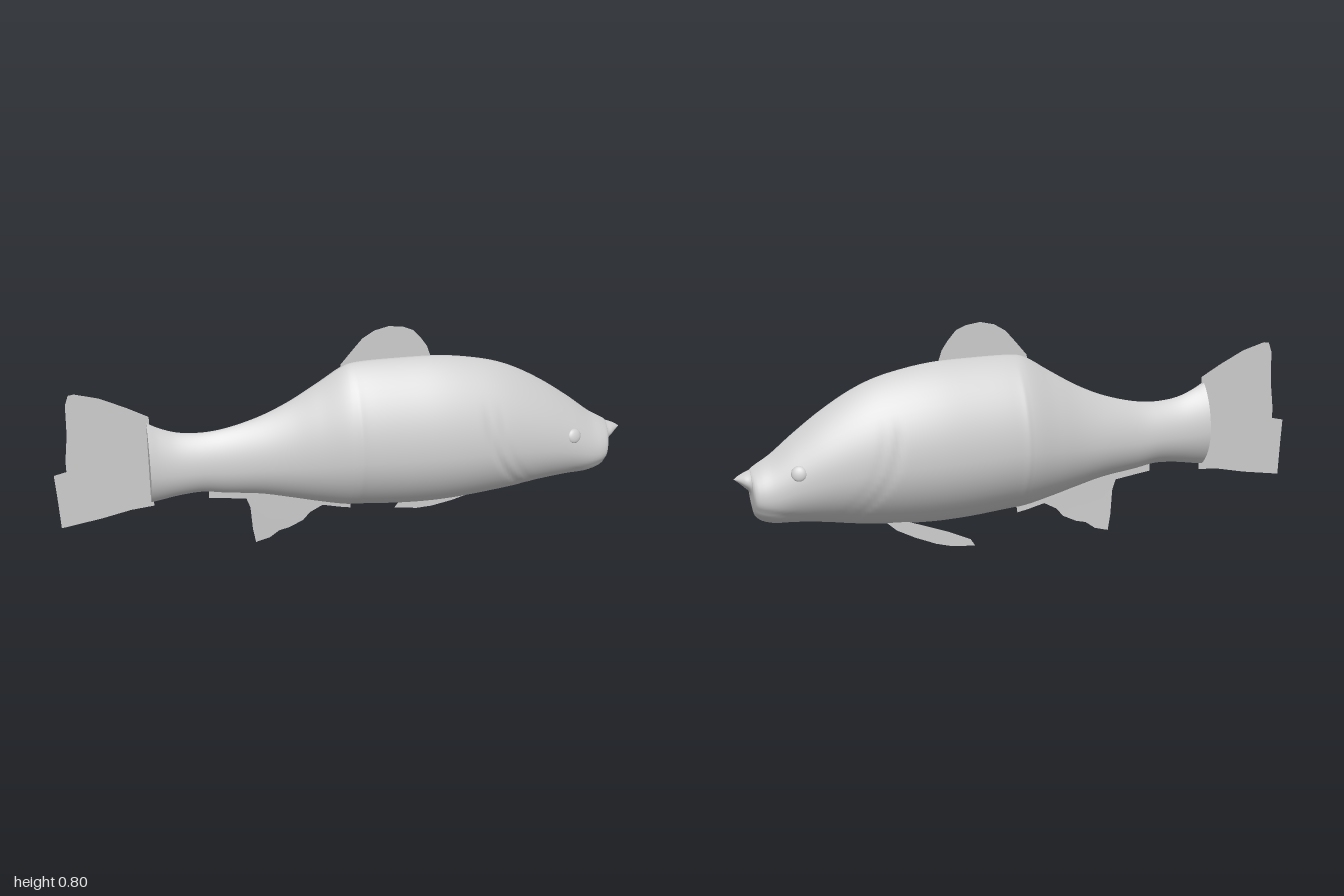
import * as THREE from 'three';

const skin = new THREE.MeshStandardMaterial({ color: 0xcccccc, side: THREE.DoubleSide });
skin.name = 'pale grey';

// body stations: x, belly height, back height, half width
const stations = [
  [-0.68, 0.213, 0.52, 0.077], [-0.64, 0.22, 0.497, 0.07], [-0.58, 0.23, 0.474, 0.065],
  [-0.5, 0.235, 0.465, 0.064], [-0.42, 0.222, 0.472, 0.067], [-0.3, 0.205, 0.505, 0.085],
  [-0.2, 0.18, 0.55, 0.106], [-0.1, 0.153, 0.61, 0.136], [0, 0.13, 0.672, 0.166],
  [0.04, 0.127, 0.68, 0.17], [0.2, 0.113, 0.682, 0.175], [0.32, 0.11, 0.678, 0.176],
  [0.42, 0.115, 0.664, 0.171], [0.52, 0.125, 0.64, 0.161], [0.6, 0.135, 0.607, 0.15],
  [0.7, 0.152, 0.548, 0.132], [0.8, 0.164, 0.475, 0.11], [0.88, 0.17, 0.41, 0.093],
  [0.92, 0.185, 0.385, 0.083], [0.937, 0.203, 0.374, 0.074], [0.945, 0.235, 0.368, 0.06],
  [0.95, 0.285, 0.363, 0.042], [0.967, 0.305, 0.356, 0.03], [0.985, 0.322, 0.347, 0.014],
  [1, 0.335, 0.336, 0.001],
];
const SIDES = 56, STEPS = 8;

const dip = (d, width) => Math.exp(-((d / width) ** 2));

// sideways relief: gill cover edges, mouth line and the ridge behind the back fin
function relief(x, y) {
  const gill = 0.47 + 1.5 * Math.max(0, 0.5 - y) ** 2;
  const fade = THREE.MathUtils.smoothstep(0.54 - y, 0, 0.1);
  let d = -0.006 * fade * dip(x - gill, 0.012);
  d -= 0.003 * fade * dip(x - gill - 0.05, 0.014);
  d += 0.003 * dip(x - 0.03, 0.012);
  if (x > 0.78 && x < 0.94) d -= 0.004 * dip(y - 0.2 - 0.25 * (x - 0.78), 0.01);
  return d;
}

function sampleRings() {
  const heights = new THREE.CatmullRomCurve3(stations.map(([x, b, t]) => new THREE.Vector3(x, b, t)));
  const widths = new THREE.CatmullRomCurve3(stations.map(([x, , , w]) => new THREE.Vector3(x, w, 0)));
  const n = (stations.length - 1) * STEPS;
  const rings = [];
  for (let i = 0; i <= n; i++) {
    const { x, y: low, z: high } = heights.getPoint(i / n);
    const w = Math.max(0.0005, widths.getPoint(i / n).y);
    const mid = low + (high - low) * 0.45;
    const ring = [];
    for (let j = 0; j < SIDES; j++) {
      const a = (j / SIDES) * Math.PI * 2, s = Math.sin(a), c = Math.cos(a);
      const y = mid + s * (s > 0 ? high - mid : mid - low);
      const side = Math.sign(c) * Math.abs(c) ** 1.55;
      ring.push([x, y, side * (w + relief(x, y))]);
    }
    rings.push(ring);
  }
  return rings;
}

function geometryFrom(points, index) {
  const g = new THREE.BufferGeometry();
  g.setAttribute('position', new THREE.Float32BufferAttribute(points.flat(), 3));
  g.setIndex(index);
  g.computeVertexNormals();
  return g;
}

function bodyGeometry(rings) {
  const index = [];
  for (let i = 0; i < rings.length - 1; i++) {
    for (let j = 0; j < SIDES; j++) {
      const k = (j + 1) % SIDES;
      const a = i * SIDES + j, b = a + SIDES, c = i * SIDES + k, d = c + SIDES;
      index.push(a, b, c, b, d, c);
    }
  }
  return geometryFrom(rings.flat(), index);
}

function capGeometry(ring) {
  const index = [];
  for (let j = 0; j < SIDES; j++) index.push(SIDES, j, (j + 1) % SIDES);
  return geometryFrom([...ring, [ring[0][0], 0.36, 0]], index);
}

// flat fin outline; depth(x, y) leans it sideways
function finGeometry(points, depth) {
  const g = new THREE.ShapeGeometry(new THREE.Shape(points.map(([x, y]) => new THREE.Vector2(x, y))));
  const p = g.attributes.position;
  for (let i = 0; i < p.count; i++) p.setZ(i, depth(p.getX(i), p.getY(i)));
  g.computeVertexNormals();
  return g;
}

export function createModel() {
  const model = new THREE.Group();
  model.name = 'fish';
  const add = (name, geometry) => {
    const mesh = new THREE.Mesh(geometry, skin);
    mesh.name = name;
    model.add(mesh);
    return mesh;
  };

  const rings = sampleRings();
  add('body', bodyGeometry(rings));
  add('tailEndCap', capGeometry(rings[0]));

  // eyes
  for (const s of [1, -1]) {
    const eye = add(s > 0 ? 'rightEye' : 'leftEye', new THREE.SphereGeometry(0.026, 24, 16));
    eye.scale.z = 0.45;
    eye.position.set(0.8, 0.365, s * 0.096);
    eye.rotation.set(-s * 0.35, s * 0.25, 0);
  }

  // fins
  add('backFin', finGeometry([
    [-0.02, 0.64], [-0.015, 0.675], [0.03, 0.73], [0.06, 0.765], [0.1, 0.79], [0.15, 0.802],
    [0.2, 0.795], [0.235, 0.78], [0.265, 0.745], [0.285, 0.715], [0.3, 0.67], [0.29, 0.64],
  ], () => 0));

  add('tailFin', finGeometry([
    [-0.67, 0.195], [-0.67, 0.54], [-0.74, 0.58], [-0.83, 0.625], [-0.91, 0.648], [-0.93, 0.645],
    [-0.942, 0.61], [-0.945, 0.5], [-0.957, 0.4], [-0.957, 0.36], [-1, 0.35], [-0.995, 0.26],
    [-0.99, 0.142], [-0.85, 0.165], [-0.75, 0.187],
  ], () => -0.005));

  add('bellyFin', finGeometry([
    [-0.48, 0.25], [-0.48, 0.207], [-0.41, 0.197], [-0.35, 0.188], [-0.337, 0.15], [-0.33, 0.06],
    [-0.32, 0.002], [-0.27, 0.016], [-0.235, 0.042], [-0.2, 0.05], [-0.15, 0.075], [-0.125, 0.105],
    [-0.08, 0.13], [-0.02, 0.115], [0.02, 0.107], [0.025, 0.15], [-0.2, 0.22],
  ], (x, y) => -0.04 * Math.max(0, 0.2 - y)));

  add('sideFin', finGeometry([
    [0.2, 0.036], [0.215, 0.06], [0.29, 0.09], [0.36, 0.112], [0.42, 0.13], [0.5, 0.135],
    [0.46, 0.1], [0.4, 0.072], [0.33, 0.047], [0.28, 0.037],
  ], (x) => -0.02 - 0.24 * (0.48 - x)));

  return model;
}
